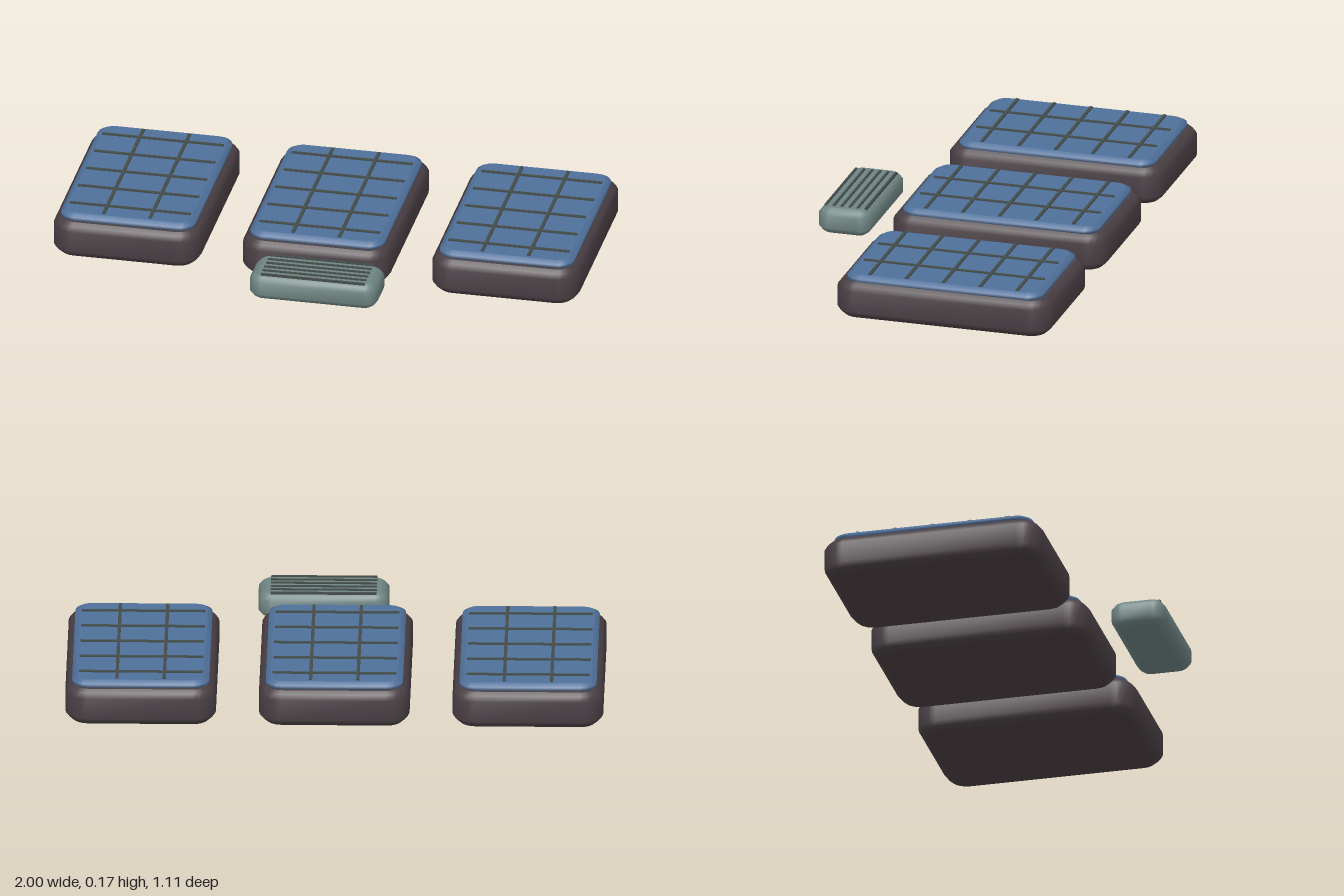
import * as THREE from 'three';

const mat = (name, color, side = THREE.FrontSide) => {
  const m = new THREE.MeshStandardMaterial({ color, side });
  m.name = name;
  return m;
};

// Outline of a rounded rectangle in plan, as [x, z] points
function outline(hw, hd, r, seg = 5) {
  const pts = [];
  for (let c = 0; c < 4; c++) {
    const sx = c === 0 || c === 3 ? 1 : -1;
    const sz = c < 2 ? 1 : -1;
    for (let i = 0; i <= seg; i++) {
      const a = (c + i / seg) * Math.PI / 2;
      pts.push([sx * (hw - r) + Math.cos(a) * r, sz * (hd - r) + Math.sin(a) * r]);
    }
  }
  return pts;
}

// Rounded slab with bevelled rims: smooth sides, flat caps. levels = [y, inset]
function slab(name, hw, hd, r, levels, material) {
  const group = new THREE.Group();
  group.name = name;
  const rings = levels.map(([y, inset]) =>
    outline(hw - inset, hd - inset, r - inset).map(([x, z]) => [x, y, z]));
  const n = rings[0].length;
  const index = [];
  for (let k = 0; k < rings.length - 1; k++) {
    for (let i = 0; i < n; i++) {
      const j = (i + 1) % n;
      const a = k * n + i, b = k * n + j, c = a + n, d = b + n;
      index.push(a, c, b, b, c, d);
    }
  }
  const add = (part, positions, idx) => {
    const g = new THREE.BufferGeometry();
    g.setAttribute('position', new THREE.Float32BufferAttribute(positions, 3));
    g.setIndex(idx);
    g.computeVertexNormals();
    const mesh = new THREE.Mesh(g, material);
    mesh.name = part;
    group.add(mesh);
  };
  add(name + 'Sides', rings.flat(2), index);
  const top = [], bottom = [];
  for (let i = 1; i < n - 1; i++) {
    top.push(0, i + 1, i);
    bottom.push(0, i, i + 1);
  }
  add(name + 'Top', rings[rings.length - 1].flat(), top);
  add(name + 'Bottom', rings[0].flat(), bottom);
  return group;
}

function bar(name, w, h, d, x, y, z, material) {
  const mesh = new THREE.Mesh(new THREE.BoxGeometry(w, h, d), material);
  mesh.name = name;
  mesh.position.set(x, y, z);
  return mesh;
}

export function createModel() {
  const model = new THREE.Group();
  model.name = 'panelSet';
  const casing = mat('dark casing', 0x4a4045);
  const blue = mat('blue panel', 0x4f709a);
  const line = mat('dark lines', 0x434c49);
  const grey = mat('grey green', 0x6f8583);

  // Three identical panels side by side
  for (const x of [-0.72, 0, 0.72]) {
    const panel = new THREE.Group();
    panel.name = 'panel';
    panel.position.set(x, 0, -0.1375);
    panel.add(slab('casing', 0.28, 0.4175, 0.085,
      [[0, 0.028], [0.012, 0.014], [0.03, 0], [0.11, 0], [0.128, 0.014], [0.14, 0.028]], casing));
    panel.add(slab('face', 0.255, 0.38, 0.06,
      [[0.13, 0.02], [0.142, 0], [0.154, 0], [0.165, 0.02]], blue));
    // Grid lines on the face
    for (const s of [-1, 1]) {
      panel.add(bar('lengthLine', 0.012, 0.008, 0.7, s * 0.088, 0.166, 0, line));
    }
    for (let i = -2; i <= 2; i++) {
      panel.add(bar('crossLine', 0.46, 0.008, 0.012, 0, 0.166, i * 0.143, line));
    }
    model.add(panel);
  }

  // Small floating block with a slatted top
  const block = new THREE.Group();
  block.name = 'slattedBlock';
  block.position.set(0.056, 0, 0.4525);
  block.add(slab('body', 0.243, 0.103, 0.05,
    [[0.045, 0.028], [0.055, 0.013], [0.072, 0], [0.119, 0], [0.135, 0.013], [0.145, 0.028]], grey));
  for (let i = 0; i < 6; i++) {
    block.add(bar('slat', 0.395, 0.008, 0.009, 0, 0.1455, (i - 2.5) * 0.031, line));
  }
  model.add(block);
  return model;
}
